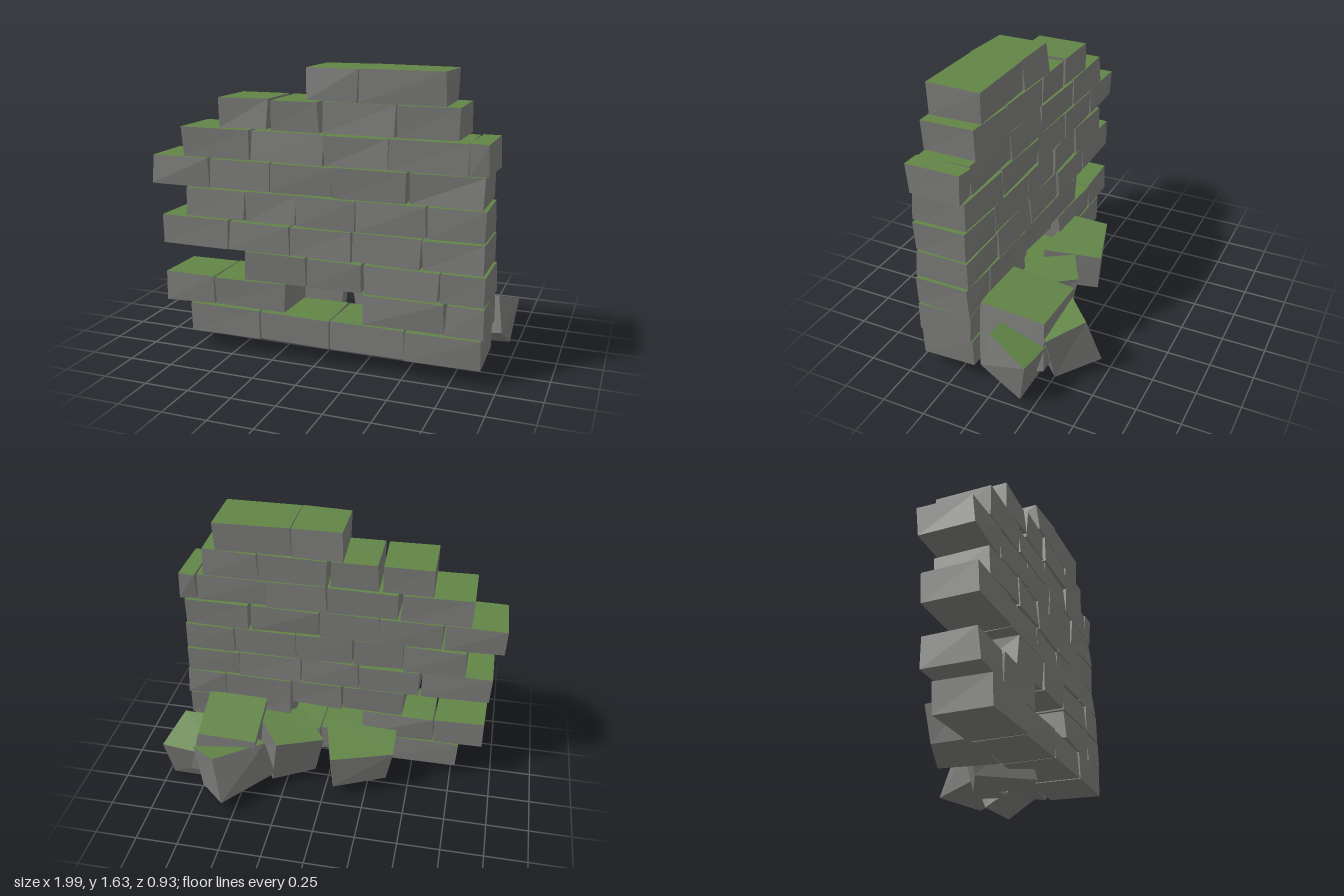
import * as THREE from 'three';

const moss = new THREE.MeshStandardMaterial({ color: 0x618446 });
moss.name = 'mossGreen';
const stone = new THREE.MeshStandardMaterial({ color: 0x777775 });
stone.name = 'stoneGrey';

// Six-sided block; corners run back-left, back-right, front-right, front-left
function block(name, top, bottom) {
  const pos = [];
  const quad = (a, b, c, d) => pos.push(...a, ...b, ...c, ...a, ...c, ...d);
  quad(top[0], top[3], top[2], top[1]);
  for (let i = 0; i < 4; i++) {
    const j = (i + 1) % 4;
    quad(bottom[j], bottom[i], top[i], top[j]);
  }
  quad(bottom[0], bottom[1], bottom[2], bottom[3]);
  const geo = new THREE.BufferGeometry();
  geo.setAttribute('position', new THREE.Float32BufferAttribute(pos, 3));
  geo.computeVertexNormals();
  geo.addGroup(0, 6, 0); // mossy top
  geo.addGroup(6, 30, 1);
  const mesh = new THREE.Mesh(geo, [moss, stone]);
  mesh.name = name;
  return mesh;
}

// Each course: bottom y, top y, then [left x, right x] of every brick
const courses = [
  [0.10, 0.262, [[-0.78, -0.345], [-0.34, 0.075], [0.08, 0.495], [0.5, 0.91]]],
  [0.27, 0.434, [[-0.93, -0.63], [-0.62, -0.19], [0.27, 0.71], [0.72, 0.92]]],
  [0.442, 0.603, [[-0.43, -0.06], [-0.05, 0.26], [0.27, 0.675], [0.685, 0.92]]],
  [0.611, 0.772, [[-0.94, -0.53], [-0.52, -0.16], [-0.15, 0.19], [0.2, 0.58], [0.59, 0.91]]],
  [0.781, 0.946, [[-0.78, -0.42], [-0.41, -0.12], [-0.115, 0.22], [0.225, 0.6], [0.61, 0.91]]],
  [0.953, 1.115, [[-0.99, -0.645], [-0.635, -0.27], [-0.265, 0.085], [0.09, 0.495], [0.51, 0.9]]],
  [1.123, 1.285, [[-0.79, -0.39], [-0.37, 0.04], [0.045, 0.395], [0.4, 0.81], [0.82, 0.92]]],
  [1.295, 1.457, [[-0.56, -0.275], [-0.25, 0.015], [0.04, 0.435], [0.44, 0.765]]],
  [1.463, 1.633, [[-0.05, 0.235], [0.24, 0.69]]],
];

export function createModel() {
  const model = new THREE.Group();
  model.name = 'ruinedWall';

  let seed = 7;
  const jitter = (v, amount) => {
    seed = (seed * 16807) % 2147483647;
    return v + (seed / 2147483647 - 0.5) * 2 * amount;
  };

  // Standing wall
  const wall = new THREE.Group();
  wall.name = 'wall';
  for (const [y0, y1, bricks] of courses) {
    for (const [x0, x1] of bricks) {
      const ring = (y) => [[x0, 0.142], [x1, 0.142], [x1, 0.449], [x0, 0.449]]
        .map(([x, z]) => [jitter(x, 0.006), jitter(y, 0.004), jitter(z, 0.01)]);
      wall.add(block('brick', ring(y1), ring(y0)));
    }
  }
  model.add(wall);

  // Fallen stones behind the wall
  const rubble = new THREE.Group();
  rubble.name = 'rubble';
  rubble.add(
    block('fallenStone',
      [[-0.41, 0.32, -0.09], [-0.05, 0.31, -0.2], [0.04, 0.33, 0.14], [-0.4, 0.33, 0.17]],
      [[-0.37, 0.11, -0.07], [-0.06, 0.08, -0.18], [0.03, 0.09, 0.15], [-0.37, 0.11, 0.18]]),
    block('fallenStone',
      [[0.02, 0.34, -0.06], [0.28, 0.37, -0.2], [0.5, 0.36, 0.14], [0.2, 0.34, 0.22]],
      [[0.08, 0.06, -0.02], [0.33, 0.04, -0.14], [0.49, 0.06, 0.15], [0.24, 0.04, 0.29]]),
    block('fallenStone',
      [[0.4, 0.4, -0.23], [0.76, 0.4, -0.22], [0.79, 0.45, 0.15], [0.42, 0.45, 0.15]],
      [[0.43, 0.14, -0.24], [0.82, 0.13, -0.24], [0.87, 0.1, 0.12], [0.47, 0.1, 0.15]]),
    block('fallenStone',
      [[0.36, 0.35, -0.17], [0.62, 0.375, -0.4], [0.79, 0.31, -0.24], [0.54, 0.3, 0]],
      [[0.31, 0.1, -0.15], [0.56, 0.1, -0.47], [0.74, 0.04, -0.27], [0.49, 0.05, 0]]),
    block('fallenStone',
      [[0.56, 0.25, -0.25], [0.995, 0.28, -0.22], [0.92, 0.37, 0.02], [0.55, 0.35, 0.02]],
      [[0.55, 0.005, -0.16], [0.96, 0.025, -0.17], [0.95, 0.17, 0.07], [0.52, 0.12, 0.08]]),
  );
  model.add(rubble);
  return model;
}
